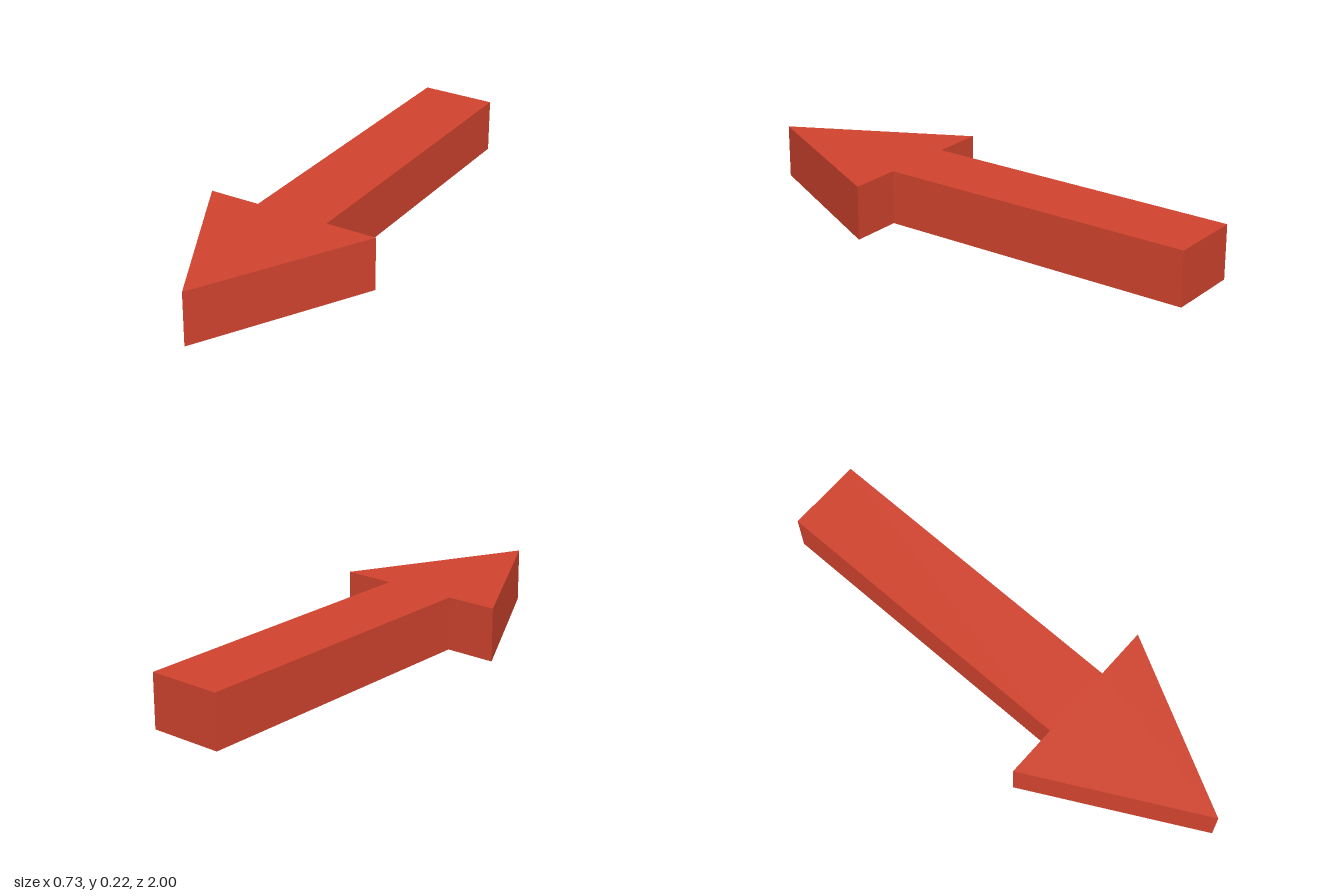
import * as THREE from 'three';

const HEIGHT = 0.218;
const SHAFT = 0.152; // half width of the shaft
const HEAD = 0.363; // half width of the head
const NECK = 0.31; // z where the head meets the shaft

export function createModel() {
  const group = new THREE.Group();
  group.name = 'arrow';

  // Arrow outline in plan: x across, shape y becomes z
  const right = [[SHAFT, -1], [SHAFT, NECK], [HEAD, NECK]];
  const left = right.map(([x, z]) => [-x, z]).reverse();
  const outline = [...right, [0, 1], ...left].map(([x, z]) => new THREE.Vector2(x, z));

  // Extrude, then lay flat with the underside on the ground
  const geometry = new THREE.ExtrudeGeometry(new THREE.Shape(outline), {
    depth: HEIGHT,
    bevelEnabled: false,
  });
  geometry.rotateX(Math.PI / 2).translate(0, HEIGHT, 0);

  const body = new THREE.Mesh(
    geometry,
    new THREE.MeshStandardMaterial({ color: 0xd0432e })
  );
  body.name = 'arrowBody';
  group.add(body);
  return group;
}
